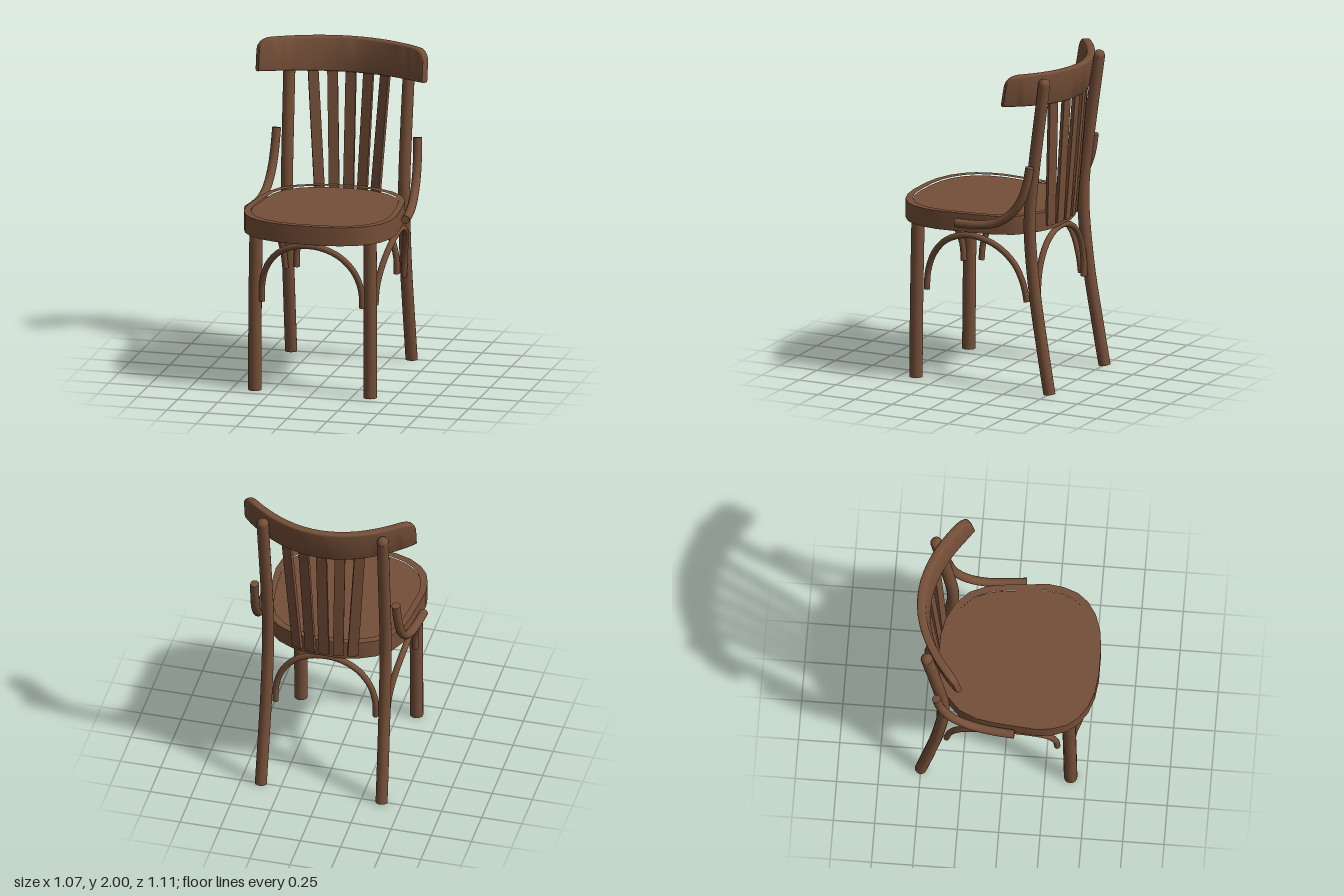
import * as THREE from 'three';
import { mergeGeometries, toCreasedNormals } from 'three/addons/utils/BufferGeometryUtils.js';

const wood = new THREE.MeshStandardMaterial({ color: 0x754f38 });
wood.name = 'brown wood';

const vec = (p) => new THREE.Vector3(...p);

function add(parent, name, geometry) {
  const mesh = new THREE.Mesh(geometry, wood);
  mesh.name = name;
  parent.add(mesh);
  return mesh;
}

// Bent round rod with closed ends, kept above the floor
function rod(points, radius, segments = 24) {
  const curve = new THREE.CatmullRomCurve3(points.map(vec));
  const parts = [new THREE.TubeGeometry(curve, segments, radius, 14)];
  for (const t of [0, 1]) {
    const out = curve.getTangent(t).multiplyScalar(t ? 1 : -1);
    const cap = new THREE.CircleGeometry(radius, 14);
    cap.applyQuaternion(new THREE.Quaternion().setFromUnitVectors(new THREE.Vector3(0, 0, 1), out));
    const end = curve.getPoint(t);
    cap.translate(end.x, end.y, end.z);
    parts.push(cap);
  }
  const geometry = mergeGeometries(parts);
  const pos = geometry.attributes.position;
  for (let i = 0; i < pos.count; i++) pos.setY(i, Math.max(0, pos.getY(i)));
  return geometry;
}

// Seat outline as x, z for one half, from back to front
const HALF = [[0.09, -0.417], [0.2, -0.393], [0.3, -0.343], [0.38, -0.266], [0.427, -0.16], [0.445, -0.045],
  [0.458, 0.09], [0.468, 0.213], [0.455, 0.305], [0.425, 0.388], [0.374, 0.453], [0.297, 0.506],
  [0.2, 0.54], [0.088, 0.555]];

function outline(scale) {
  const all = [...HALF, ...HALF.map(([x, z]) => [-x, z]).reverse()];
  return all.map(([x, z]) => new THREE.Vector2(x * scale, -(0.068 + (z - 0.068) * scale)));
}

function slab(shape, y, height) {
  const geometry = new THREE.ExtrudeGeometry(shape, { depth: height, bevelEnabled: false });
  geometry.rotateX(-Math.PI / 2);
  geometry.translate(0, y, 0);
  return toCreasedNormals(geometry, 0.7);
}

// Curved, tilted top rail lofted along x
function railGeometry() {
  const W = 0.54, T = 0.05, R = 0.012, N = 28;
  const section = []; // thickness and height fractions with rounded corners
  for (const [cu, cv, a0] of [[1, 0, -90], [1, 1, 0], [0, 1, 90], [0, 0, 180]]) {
    for (let k = 0; k <= 3; k++) {
      const a = (a0 + k * 30) * Math.PI / 180;
      section.push([cu + (Math.cos(a) - (cu ? 1 : -1)) * R / T, cv, (Math.sin(a) - (cv ? 1 : -1)) * R]);
    }
  }
  const M = section.length, pos = [], index = [];
  for (let i = 0; i <= N; i++) {
    const x = W * Math.sin((i / N - 0.5) * Math.PI);
    const f = (x / W) ** 2;
    const k = Math.max(0, (Math.abs(x) - W + 0.065) / 0.065);
    const top = 1.985 + 0.015 * f - 0.06 * (1 - Math.sqrt(Math.max(0, 1 - k * k)));
    const bottom = 1.775 + 0.03 * f;
    const slope = 1.72 * x, len = Math.hypot(1, slope);
    for (const [u, v, dy] of section) {
      const y = (v ? top : bottom) + dy;
      const d = T * (0.5 + (u - 0.5) * (1 - 0.25 * k * k));
      pos.push(x - d * slope / len, y, -0.555 + 0.86 * x * x + d / len + (2 - y) * 0.17);
    }
  }
  for (let i = 0; i < N; i++) {
    for (let j = 0; j < M; j++) {
      const a = i * M + j, b = i * M + (j + 1) % M;
      index.push(a, a + M, b, b, a + M, b + M);
    }
  }
  const last = N * M;
  for (let j = 1; j < M - 1; j++) {
    index.push(0, j, j + 1, last, last + j + 1, last + j);
  }
  const geometry = new THREE.BufferGeometry();
  geometry.setAttribute('position', new THREE.Float32BufferAttribute(pos, 3));
  geometry.setIndex(index);
  return toCreasedNormals(geometry, 0.75);
}

// Flat back slat running from low to high, facing along the curve of the back
function slatGeometry(low, high, turn) {
  const up = high.clone().sub(low);
  const geometry = new THREE.BoxGeometry(0.064, up.length(), 0.022);
  up.normalize();
  const side = new THREE.Vector3(Math.cos(turn), 0, -Math.sin(turn));
  side.addScaledVector(up, -side.dot(up)).normalize();
  const face = side.clone().cross(up);
  const mid = low.clone().add(high).multiplyScalar(0.5);
  geometry.applyMatrix4(new THREE.Matrix4().makeBasis(side, up, face).setPosition(mid));
  return geometry;
}

export function createModel() {
  const chair = new THREE.Group();
  chair.name = 'chair';

  // Seat: hollow rim with a slightly sunken panel
  const rim = new THREE.Shape(outline(1));
  rim.holes.push(new THREE.Path(outline(0.915)));
  add(chair, 'seatRim', slab(rim, 0.97, 0.115));
  add(chair, 'seatPanel', slab(new THREE.Shape(outline(0.918)), 1.055, 0.022));

  for (const s of [1, -1]) {
    const side = s > 0 ? 'left' : 'right';
    // Front leg
    add(chair, side + 'FrontLeg', rod([[s * 0.36, 0, 0.405], [s * 0.36, 0.5, 0.4], [s * 0.355, 1.04, 0.392]], 0.041, 6));
    // Back leg continuing upward as the back post, with a rounded tip
    add(chair, side + 'BackPost', rod([[s * 0.376, 0, -0.5], [s * 0.372, 0.3, -0.448], [s * 0.368, 0.6, -0.4],
      [s * 0.366, 0.97, -0.364], [s * 0.366, 1.15, -0.366], [s * 0.368, 1.4, -0.393], [s * 0.374, 1.93, -0.464]], 0.037, 36));
    const tip = new THREE.SphereGeometry(0.037, 14, 8);
    tip.translate(s * 0.374, 1.93, -0.464);
    add(chair, side + 'PostTip', tip);
    // Low bent arm from the seat side to the post
    add(chair, side + 'Arm', rod([[s * 0.49, 1.032, 0.075], [s * 0.477, 1.032, -0.06], [s * 0.465, 1.05, -0.17],
      [s * 0.456, 1.105, -0.265], [s * 0.45, 1.19, -0.335], [s * 0.445, 1.3, -0.378], [s * 0.44, 1.42, -0.4]], 0.027));
    // Side arch under the seat, leaning outward
    add(chair, side + 'SideArch', rod([[s * 0.372, 0.56, 0.325], [s * 0.378, 0.67, 0.315], [s * 0.4, 0.8, 0.262],
      [s * 0.425, 0.9, 0.165], [s * 0.436, 0.946, 0.04], [s * 0.436, 0.946, -0.04], [s * 0.425, 0.9, -0.17],
      [s * 0.4, 0.8, -0.272], [s * 0.378, 0.67, -0.325], [s * 0.37, 0.56, -0.345]], 0.019, 32));
  }

  // Front and back arches under the seat
  const ARCH = [[0.312, 0.56], [0.31, 0.66], [0.275, 0.785], [0.19, 0.89], [0.07, 0.945]];
  const arch = (zAt) => rod([...ARCH.map(([x, y]) => [-x, y, zAt(y)]),
    ...ARCH.map(([x, y]) => [x, y, zAt(y)]).reverse()], 0.019, 32);
  add(chair, 'frontArch', arch((y) => 0.415 + 0.1 * Math.max(0, (y - 0.6) / 0.35) ** 1.5));
  add(chair, 'backArch', arch(() => -0.392));

  // Fan of five slats
  for (let i = -2; i <= 2; i++) {
    const x0 = i * 0.086, x1 = i * 0.114;
    add(chair, 'backSlat' + (i + 3), slatGeometry(
      new THREE.Vector3(x0, 1.0, -0.43 + 0.8 * x0 * x0),
      new THREE.Vector3(x1, 1.82, -0.497 + 0.86 * x1 * x1), -1.72 * x1));
  }

  add(chair, 'topRail', railGeometry());
  return chair;
}
